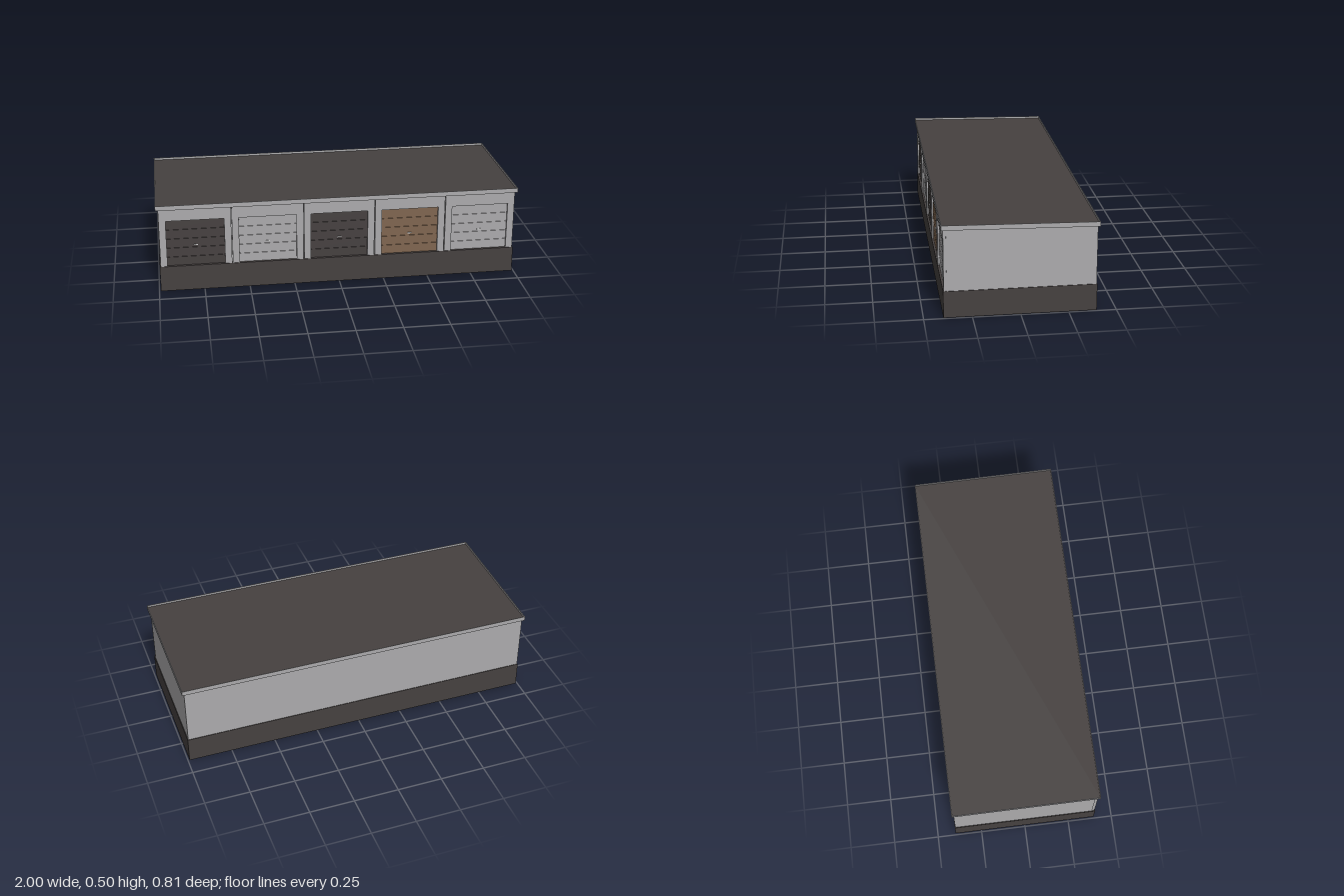
import * as THREE from 'three';

const mat = (name, color) => {
  const m = new THREE.MeshStandardMaterial({ color });
  m.name = name;
  return m;
};

export function createModel() {
  const wall = mat('light grey render', 0xacabad);
  const dark = mat('charcoal', 0x464140);
  const wood = mat('brown door', 0x806650);
  const metal = mat('handle metal', 0xd0d0d0);

  const model = new THREE.Group();
  model.name = 'garageRow';

  const box = (parent, name, material, [w, h, d], [x, y, z]) => {
    const mesh = new THREE.Mesh(new THREE.BoxGeometry(w, h, d), material);
    mesh.name = name;
    mesh.position.set(x, y, z);
    parent.add(mesh);
    return mesh;
  };

  // Plinth
  const plinthTop = 0.145;
  box(model, 'plinth', dark, [1.982, plinthTop, 0.796], [0, plinthTop / 2, 0]);

  // Main walls, with the top following the fall of the roof
  const slope = 0.0185;
  const body = box(model, 'walls', wall, [1.975, 0.335, 0.775], [0, 0.3075, -0.0075]);
  const p = body.geometry.attributes.position;
  for (let i = 0; i < p.count; i++) {
    if (p.getY(i) > 0) p.setY(i, 0.1675 + slope * p.getZ(i));
  }

  // One facade frame and sectional door for each unit
  const pitch = 0.395, doorW = 0.316, doorTop = 0.412;
  const doorMaterials = [dark, wall, dark, wood, wall];
  doorMaterials.forEach((doorMaterial, i) => {
    const unit = new THREE.Group();
    unit.name = `garageUnit${i + 1}`;
    unit.position.x = (i - 2) * pitch;
    model.add(unit);

    // Frame around the opening; a narrow joint is left between units
    const w = pitch / 2 - 0.002, d = doorW / 2;
    const frame = new THREE.Shape([
      [-w, 0.14], [-d, 0.14], [-d, doorTop], [d, doorTop],
      [d, 0.14], [w, 0.14], [w, 0.481], [-w, 0.481],
    ].map(([x, y]) => new THREE.Vector2(x, y)));
    const facade = new THREE.Mesh(
      new THREE.ExtrudeGeometry(frame, { depth: 0.015, bevelEnabled: false }), wall);
    facade.name = 'facadeFrame';
    facade.position.z = 0.38;
    unit.add(facade);

    // Door leaf with raised horizontal panels
    const door = new THREE.Group();
    door.name = 'garageDoor';
    unit.add(door);
    const h = doorTop - plinthTop, panels = 5, step = h / panels;
    box(door, 'doorLeaf', doorMaterial, [doorW, h, 0.004], [0, plinthTop + h / 2, 0.381]);
    for (let k = 0; k < panels; k++) {
      box(door, 'doorPanel', doorMaterial, [doorW - 0.002, step - 0.004, 0.005],
        [0, plinthTop + (k + 0.5) * step, 0.3845]);
    }
    box(door, 'doorHandle', metal, [0.022, 0.005, 0.005], [0, 0.265, 0.3895]);
  });

  // Sloping roof: dark deck set inside a thin raised fascia
  const roof = new THREE.Group();
  roof.name = 'roof';
  roof.position.y = 0.4845;
  roof.rotation.x = -slope;
  model.add(roof);
  box(roof, 'roofDeck', dark, [1.996, 0.0135, 0.806], [0, -0.006, 0]);
  for (const s of [-1, 1]) {
    box(roof, 'fasciaLong', wall, [2, 0.026, 0.003], [0, 0, s * 0.4035]);
    box(roof, 'fasciaEnd', wall, [0.003, 0.026, 0.804], [s * 0.9985, 0, 0]);
  }

  return model;
}
